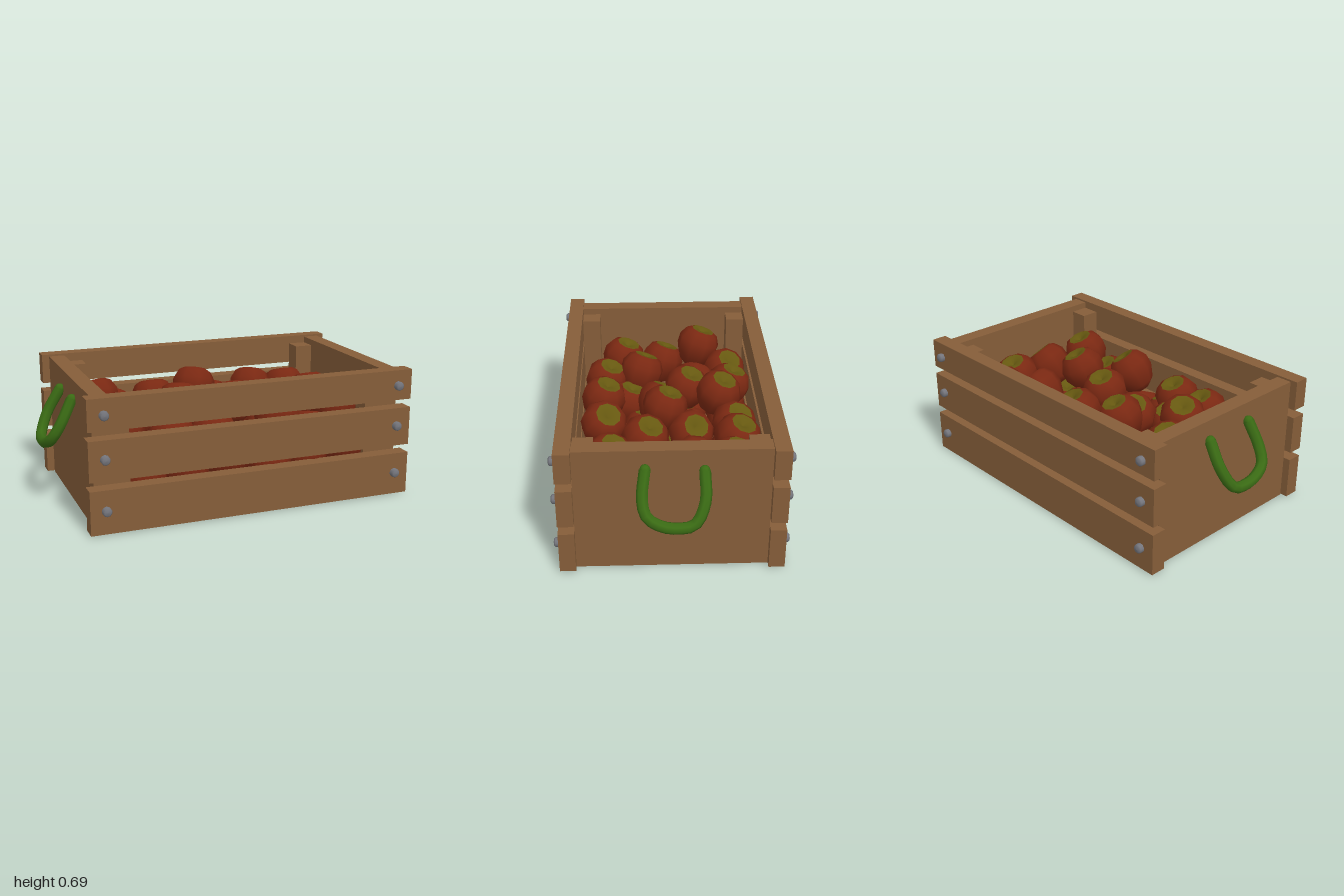
import * as THREE from 'three';

const mat = (name, color) => {
  const m = new THREE.MeshStandardMaterial({ color });
  m.name = name;
  return m;
};

export function createModel() {
  const wood = mat('wood', 0x855d39);
  const red = mat('appleRed', 0x7a2812);
  const blush = mat('appleGreenBlush', 0x665810);
  const rope = mat('greenRope', 0x3a6b14);
  const steel = mat('steel', 0x74757c);

  const model = new THREE.Group();
  model.name = 'appleCrate';

  const add = (name, geometry, material, x = 0, y = 0, z = 0, parent = model) => {
    const mesh = new THREE.Mesh(geometry, material);
    mesh.name = name;
    mesh.position.set(x, y, z);
    parent.add(mesh);
    return mesh;
  };

  // Floor, end panels and corner posts
  add('floor', new THREE.BoxGeometry(1.49, 0.05, 0.95), wood, 0, 0.03, 0);
  const endGeo = new THREE.BoxGeometry(0.085, 0.675, 0.95);
  const postGeo = new THREE.BoxGeometry(0.1, 0.59, 0.1);
  for (const s of [-1, 1]) {
    add('endPanel', endGeo, wood, s * 0.7875, 0.3375, 0);
    for (const t of [-1, 1]) add('cornerPost', postGeo, wood, s * 0.695, 0.345, t * 0.425);
  }

  // Side slats with a domed bolt at each end
  const boltGeo = new THREE.LatheGeometry(
    [[0.024, -0.01], [0.024, 0.02], [0.017, 0.027], [0, 0.029]].map(p => new THREE.Vector2(...p)), 10);
  boltGeo.rotateX(Math.PI / 2);
  const slats = [[0.005, 0.23, 0.125], [0.275, 0.48, 0.385], [0.525, 0.685, 0.603]];
  for (const t of [-1, 1]) {
    for (const [y0, y1, boltY] of slats) {
      add('sideSlat', new THREE.BoxGeometry(1.74, y1 - y0, 0.08), wood, 0, (y0 + y1) / 2, t * 0.515);
      for (const s of [-1, 1]) {
        const bolt = add('bolt', boltGeo, steel, s * 0.79, boltY, t * 0.555);
        if (t < 0) bolt.rotation.y = Math.PI;
      }
    }
  }

  // Rope handles hanging from the end panels
  for (const s of [-1, 1]) {
    const path = new THREE.CatmullRomCurve3([
      [0.845, 0.58, 0.13], [0.91, 0.455, 0.145], [0.95, 0.385, 0.125],
      [0.968, 0.345, 0.06], [0.972, 0.332, -0.02], [0.965, 0.347, -0.1],
      [0.92, 0.445, -0.15], [0.845, 0.57, -0.15]
    ].map(([x, y, z]) => new THREE.Vector3(s * x, y, z)), false, 'centripetal');
    const handle = new THREE.Group();
    handle.name = 'ropeHandle';
    model.add(handle);
    add('rope', new THREE.TubeGeometry(path, 20, 0.029, 7), rope, 0, 0, 0, handle);
    for (const u of [0, 1]) {
      const p = path.getPointAt(u);
      add('ropeEnd', new THREE.SphereGeometry(0.028, 7, 5), rope, p.x, p.y, p.z, handle);
    }
  }

  // Apple body and its greenish crown, meeting at a shared ring
  const lathe = pts => new THREE.LatheGeometry(pts.map(p => new THREE.Vector2(...p)), 9);
  const bodyGeo = lathe([[0, -0.1], [0.045, -0.118], [0.09, -0.085], [0.125, -0.01],
    [0.127, 0.05], [0.1, 0.1], [0.07, 0.117]]);
  const crownGeo = lathe([[0.07, 0.117], [0.035, 0.115], [0, 0.092]]);
  const up = new THREE.Vector3(0, 1, 0);
  const addApple = (i, x, y, z, leanX, leanZ = -0.32) => {
    const apple = new THREE.Group();
    apple.name = 'apple';
    apple.position.set(x, y, z);
    apple.scale.setScalar(0.96);
    apple.quaternion.setFromUnitVectors(up, new THREE.Vector3(leanX, 0.9, leanZ).normalize());
    apple.rotateY(i * 1.7);
    add('appleSkin', bodyGeo, red, 0, 0, 0, apple);
    add('appleCrown', crownGeo, blush, 0, 0, 0, apple);
    model.add(apple);
  };

  // Upper layer in rows from back to front: x, y, z, sideways lean
  const rows = [
    [[-0.51, 0.37, -0.35, 0.4], [-0.265, 0.4, -0.355, 0], [-0.05, 0.47, -0.28, 0.2],
      [0.1, 0.36, -0.355, 0.3], [0.33, 0.42, -0.35, 0.2], [0.54, 0.41, -0.315, 0]],
    [[-0.63, 0.47, -0.2, -0.1], [-0.425, 0.33, -0.17, -0.8], [-0.19, 0.43, -0.11, 0.15],
      [0.16, 0.35, -0.12, 0.7], [0.45, 0.37, -0.12, 0.8], [0.63, 0.41, -0.155, 0]],
    [[-0.625, 0.37, 0.015, -0.2], [-0.4, 0.42, 0.14, -0.25], [-0.13, 0.37, 0.04, -0.35],
      [0.07, 0.45, 0.02, 0], [0.375, 0.45, 0.13, 0.3], [0.62, 0.41, 0.085, 0.7]],
    [[-0.62, 0.4, 0.245, 0], [-0.385, 0.38, 0.34, 0.15], [-0.25, 0.3, 0.22, 0],
      [-0.165, 0.38, 0.355, 0.1], [0.22, 0.32, 0.17, 0.1], [0.19, 0.43, 0.345, 0.5],
      [0.38, 0.33, 0.345, 0.15], [0.55, 0.45, 0.31, 0.2]]
  ];
  rows.forEach((row, r) => row.forEach((a, i) => addApple(r * 6 + i, ...a)));

  // Lower layer filling the crate
  for (let i = 0; i < 6; i++) {
    for (let j = 0; j < 4; j++) {
      addApple(i + j, -0.56 + i * 0.225 + (j % 2 ? 0.02 : -0.02), 0.2 + 0.025 * ((i + 2 * j) % 3),
        -0.35 + j * 0.235, 0.5 * Math.sin(i * 2 + j), 0.5 * Math.cos(i + j * 3));
    }
  }
  return model;
}
